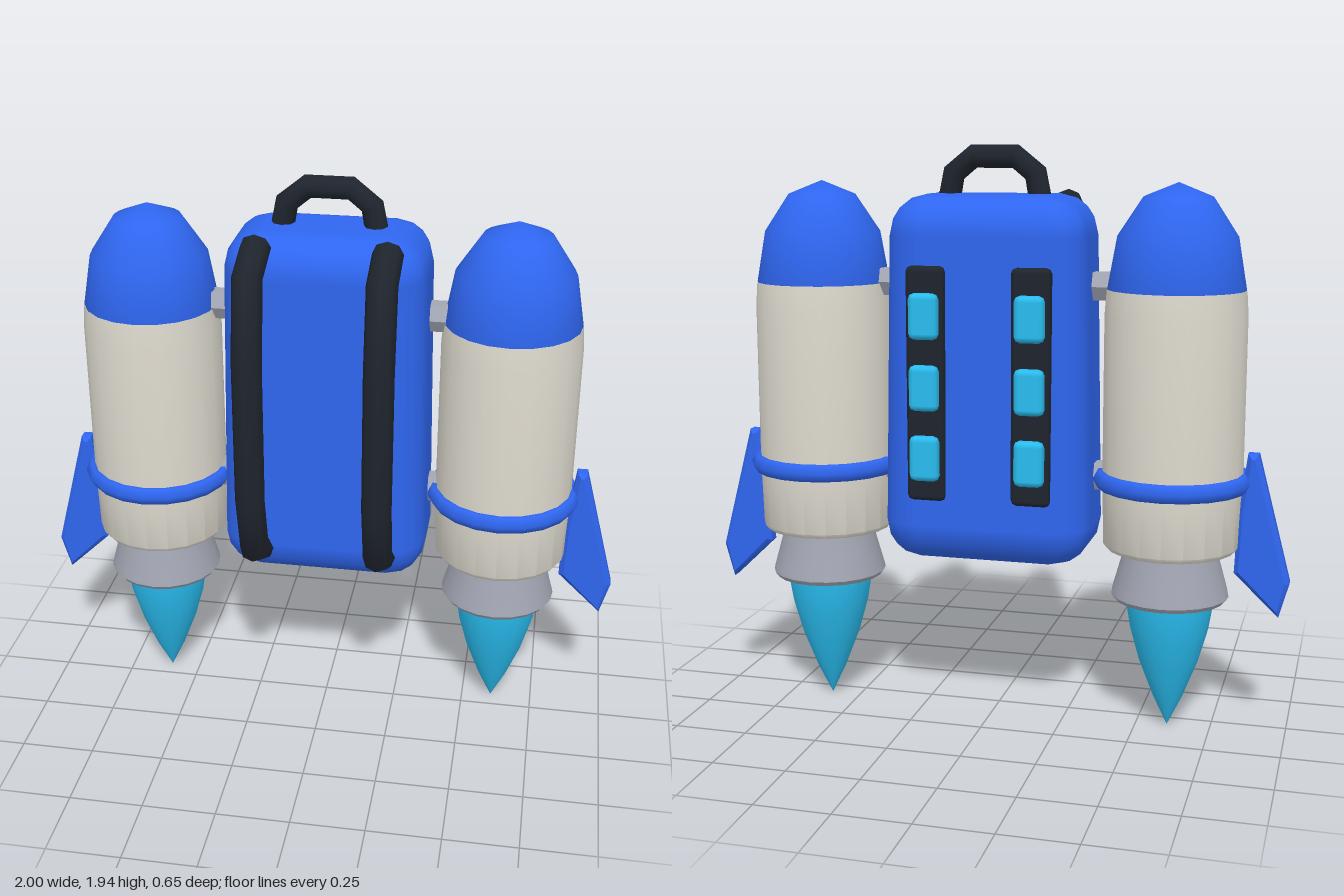
import * as THREE from 'three';
import { toCreasedNormals } from 'three/addons/utils/BufferGeometryUtils.js';
import { RoundedBoxGeometry } from 'three/addons/geometries/RoundedBoxGeometry.js';

const mat = (color) => new THREE.MeshStandardMaterial({ color });
const BLUE = mat(0x2f66f0), CREAM = mat(0xdedacf), DARK = mat(0x1f252e);
const STEEL = mat(0xa2a6b3), CYAN = mat(0x29bdf0);
const ZC = -0.06; // shared depth of pack and boosters
const SIDES = 20;

function add(parent, name, geometry, material, x = 0, y = 0, z = 0) {
  const mesh = new THREE.Mesh(geometry, material);
  mesh.name = name;
  mesh.position.set(x, y, z);
  parent.add(mesh);
  return mesh;
}

const lathe = (profile, crease = 0.6) => toCreasedNormals(
  new THREE.LatheGeometry(profile.map(([r, y]) => new THREE.Vector2(r, y)), SIDES), crease);

// Straight-segment path, one tube ring per point
class Polyline extends THREE.Curve {
  constructor(points) { super(); this.points = points; }
  getPoint(t, target = new THREE.Vector3()) {
    const n = this.points.length - 1;
    const f = Math.min(Math.max(t, 0), 1) * n;
    const i = Math.min(Math.floor(f), n - 1);
    return target.lerpVectors(this.points[i], this.points[i + 1], f - i);
  }
  getUtoTmapping(u) { return u; }
}

// Bent bar with flat end caps
function bar(name, coords, radius) {
  const group = new THREE.Group();
  group.name = name;
  const pts = coords.map((c) => new THREE.Vector3(...c));
  add(group, 'bar', new THREE.TubeGeometry(new Polyline(pts), pts.length - 1, radius, 8), DARK);
  const n = pts.length - 1;
  for (const [end, next] of [[pts[0], pts[1]], [pts[n], pts[n - 1]]]) {
    const cap = add(group, 'barEnd', new THREE.CircleGeometry(radius, 8), DARK, end.x, end.y, end.z);
    cap.lookAt(end.clone().multiplyScalar(2).sub(next));
  }
  return group;
}

// Rounded pack, narrowing towards the top
function packGeometry() {
  const g = new RoundedBoxGeometry(0.71, 1.22, 0.435, 2, 0.135);
  const p = g.attributes.position;
  for (let i = 0; i < p.count; i++) {
    const k = 1 - 0.07 * (p.getY(i) / 1.22 + 0.5);
    p.setX(i, p.getX(i) * k);
    p.setZ(i, p.getZ(i) * k);
  }
  return g;
}

// Swept fin with bevelled edges, pointing to +x
function finGeometry() {
  const b = 0.015;
  const outline = [[0.865, 0.94], [0.84, 0.74], [0.832, 0.56], [0.96, 0.433], [0.983, 0.53], [0.875, 0.94]];
  const shape = new THREE.Shape(outline.map(([x, y]) => new THREE.Vector2(x, y)));
  const g = new THREE.ExtrudeGeometry(shape, {
    depth: 0.035, bevelThickness: b, bevelSize: b, bevelSegments: 1,
  });
  return g.translate(0, 0, -0.0175);
}

function createBooster(side) {
  const group = new THREE.Group();
  group.name = side > 0 ? 'leftBooster' : 'rightBooster';
  group.position.set(side * 0.605, 0, ZC);

  add(group, 'boosterBody', lathe([
    [0, 0.625], [0.215, 0.625], [0.226, 0.64], [0.232, 0.85], [0.232, 1.4], [0.226, 1.48], [0, 1.48],
  ]), CREAM);
  const nose = add(group, 'noseCone',
    new THREE.SphereGeometry(0.225, SIDES, 3, 0, Math.PI * 2, 0, Math.PI / 2), BLUE, 0, 1.48);
  nose.scale.y = 0.34 / 0.225;

  const ring = new THREE.TorusGeometry(0.23, 0.033, 6, SIDES).rotateX(Math.PI / 2);
  add(group, 'boosterRing', ring, BLUE, 0, 0.857);

  add(group, 'nozzle', lathe([
    [0, 0.5], [0.15, 0.48], [0.158, 0.45], [0.185, 0.45], [0.196, 0.465], [0.193, 0.48],
    [0.165, 0.58], [0.155, 0.64], [0, 0.64],
  ]), STEEL);
  add(group, 'flame', lathe([
    [0, 0], [0.05, 0.105], [0.1, 0.235], [0.132, 0.35], [0.148, 0.45], [0.148, 0.5],
  ]), CYAN);
  return group;
}

export function createModel() {
  const model = new THREE.Group();
  model.name = 'jetPack';

  add(model, 'pack', packGeometry(), BLUE, 0, 1.17, ZC);

  // Carry handle
  model.add(bar('handle', [
    [-0.158, 1.74, ZC], [-0.138, 1.845, ZC], [-0.07, 1.9, ZC],
    [0.07, 1.9, ZC], [0.138, 1.845, ZC], [0.158, 1.74, ZC],
  ], 0.039));

  for (const side of [1, -1]) {
    model.add(createBooster(side));

    // Fin on the outer face of the booster
    const fin = add(model, 'fin', finGeometry(), BLUE, 0, 0, ZC);
    if (side < 0) fin.rotation.y = Math.PI;

    // Shoulder strap on the front
    const x = side * 0.21;
    model.add(bar('shoulderStrap', [
      [x, 1.745, 0.1], [x, 1.69, 0.238], [x, 1.41, 0.28],
      [x, 0.93, 0.28], [x, 0.715, 0.225], [x, 0.66, 0.11],
    ], 0.05));

    // Struts holding the booster
    for (const y of [1.485, 0.855]) {
      const strut = new THREE.CylinderGeometry(0.052, 0.052, 0.26, 6).toNonIndexed();
      strut.computeVertexNormals();
      add(model, 'strut', strut, STEEL, side * 0.34, y, ZC).rotation.z = Math.PI / 2;
    }

    // Light panel on the back
    add(model, 'lightPanel', new RoundedBoxGeometry(0.13, 0.77, 0.07, 1, 0.018), DARK, side * 0.175, 1.17, -0.257);
    for (const y of [1.395, 1.162, 0.93]) {
      add(model, 'light', new RoundedBoxGeometry(0.1, 0.15, 0.06, 1, 0.02), CYAN, side * 0.175, y, -0.29);
    }
  }
  return model;
}
